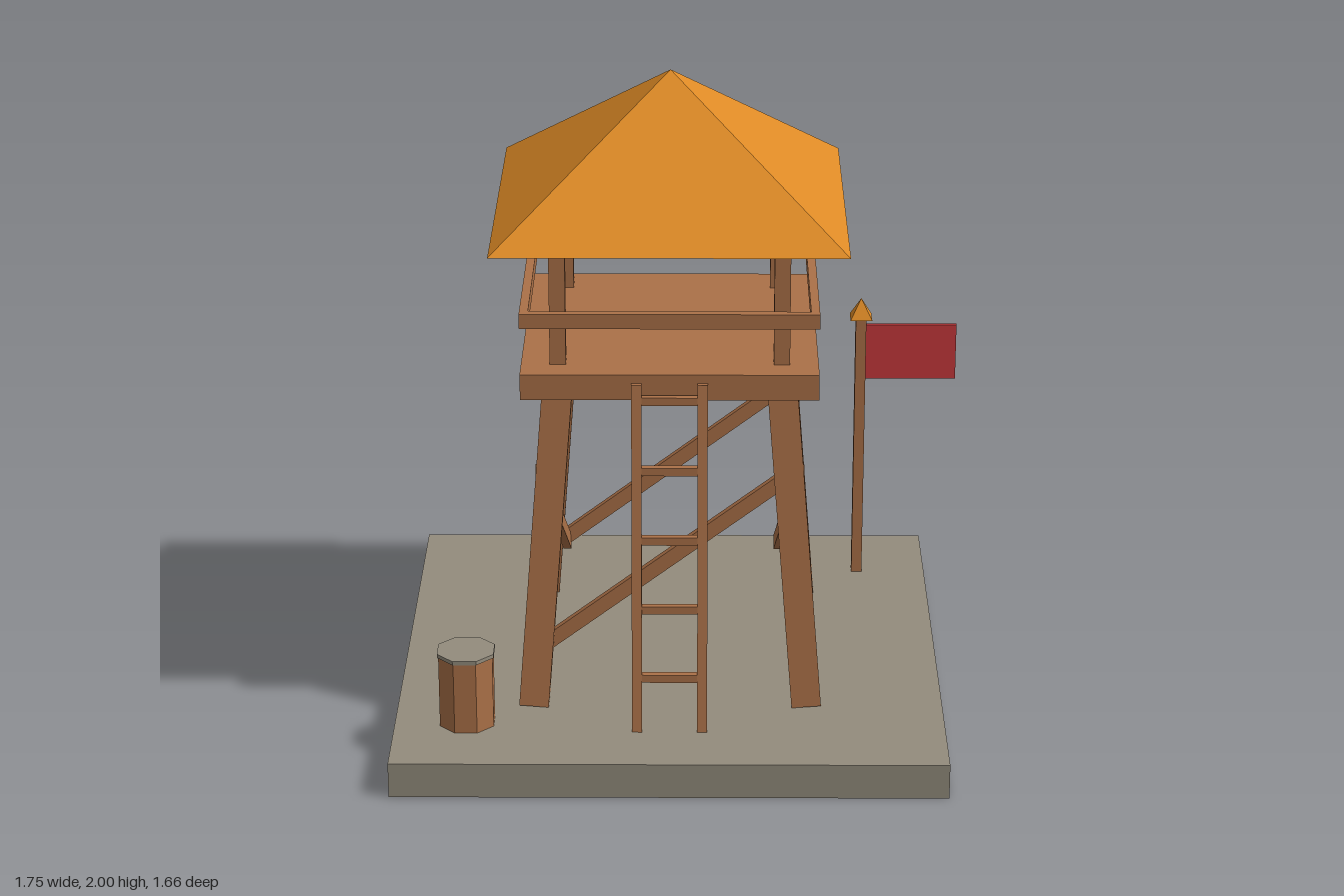
import * as THREE from 'three';

const mat = (name, color, extra = {}) => {
  const m = new THREE.MeshStandardMaterial({ color, ...extra });
  m.name = name;
  return m;
};

export function createModel() {
  const wood = mat('wood', 0xab7148);
  const thatch = mat('roof orange', 0xdd8a26);
  const stone = mat('stone grey', 0x938c7d, { side: THREE.DoubleSide });
  const red = mat('flag red', 0xc83a3c);

  const model = new THREE.Group();
  model.name = 'watchtower';

  const add = (name, geometry, material, x, y, z, parent = model) => {
    const mesh = new THREE.Mesh(geometry, material);
    mesh.name = name;
    mesh.position.set(x, y, z);
    parent.add(mesh);
    return mesh;
  };
  const box = (name, material, w, h, d, x, y, z, parent) =>
    add(name, new THREE.BoxGeometry(w, h, d), material, x, y, z, parent);

  // Faceted prism, cone or pyramid with a flat side facing the front
  const prism = (name, material, rTop, rBottom, h, sides, x, y, z, parent) => {
    const g = new THREE.CylinderGeometry(rTop, rBottom, h, sides).rotateY(Math.PI / sides).toNonIndexed();
    g.computeVertexNormals();
    return add(name, g, material, x, y, z, parent);
  };

  // Square-cut beam from a to b; its width runs along the x or z hint
  const beam = (name, a, b, width, depth, hint, parent) => {
    const p = new THREE.Vector3(...a), q = new THREE.Vector3(...b);
    const dir = q.clone().sub(p), length = dir.length();
    dir.normalize();
    const side = new THREE.Vector3(...hint);
    side.addScaledVector(dir, -side.dot(dir)).normalize();
    const normal = side.clone().cross(dir);
    const mid = p.add(q).multiplyScalar(0.5);
    const mesh = box(name, wood, width, length, depth, mid.x, mid.y, mid.z, parent);
    mesh.quaternion.setFromRotationMatrix(new THREE.Matrix4().makeBasis(side, dir, normal));
  };

  const X = [1, 0, 0], Z = [0, 0, 1];
  const ground = 0.11;

  // Ground slab, open underneath (the downward face is dropped)
  const slab = new THREE.BoxGeometry(1.665, ground, 1.665);
  slab.setIndex([...slab.index.array].filter((_, i) => i < 18 || i >= 24));
  slab.clearGroups();
  add('groundSlab', slab, stone, -0.043, ground / 2, 0);

  // Tower, centred on its own axis
  const tower = new THREE.Group();
  tower.name = 'tower';
  tower.position.x = -0.043;
  model.add(tower);

  for (const sx of [-1, 1]) {
    for (const sz of [-1, 1]) {
      beam('leg', [sx * 0.416, ground, sz * 0.416], [sx * 0.333, 1.15, sz * 0.333], 0.09, 0.09, X, tower);
      box('roofPost', wood, 0.048, 0.41, 0.048, sx * 0.333, 1.387, sz * 0.333, tower);
    }
  }

  // One diagonal brace on each of the four sides
  for (const s of [-1, 1]) {
    beam('crossBrace', [-0.375, 0.29, s * 0.37], [0.375, 0.858, s * 0.37], 0.026, 0.045, Z, tower);
    beam('sideBrace', [s * 0.342, 0.29, -0.375], [s * 0.391, 0.858, 0.375], 0.026, 0.045, X, tower);
  }

  // Platform and railing frame
  box('platform', wood, 0.885, 0.08, 0.885, 0, 1.155, 0, tower);
  for (const s of [-1, 1]) {
    box('crossRail', wood, 0.834, 0.046, 0.026, 0, 1.362, s * 0.429, tower);
    box('sideRail', wood, 0.026, 0.046, 0.884, s * 0.429, 1.362, 0, tower);
  }

  // Pyramid roof
  prism('roof', thatch, 0, 0.525 * Math.SQRT2, 0.412, 4, 0, 1.794, 0, tower);

  // Ladder leaning on the platform front
  const ladder = new THREE.Group();
  ladder.name = 'ladder';
  tower.add(ladder);
  const ladderZ = (y) => 0.61 - 0.147 * (y - ground);
  for (const s of [-1, 1]) {
    beam('ladderRail', [s * 0.098, 0.108, ladderZ(0.108)], [s * 0.098, 1.17, ladderZ(1.17)], 0.03, 0.028, X, ladder);
  }
  for (let i = 0; i < 5; i++) {
    const y = 0.275 + i * 0.2115;
    box('rung', wood, 0.18, 0.025, 0.022, 0, y, ladderZ(y), ladder);
  }

  // Barrel with a thin lid
  const barrel = new THREE.Group();
  barrel.name = 'barrel';
  barrel.position.set(-0.656, 0, 0.552);
  model.add(barrel);
  prism('barrelBody', wood, 0.088, 0.088, 0.23, 8, 0, 0.225, 0, barrel);
  prism('barrelLid', stone, 0.092, 0.092, 0.012, 8, 0, 0.345, 0, barrel);

  // Flagpole with pointed cap and flag
  const flagpole = new THREE.Group();
  flagpole.name = 'flagpole';
  flagpole.position.set(0.566, 0, -0.558);
  model.add(flagpole);
  box('pole', wood, 0.034, 0.9, 0.034, 0, 0.56, 0, flagpole);
  prism('poleCap', thatch, 0, 0.035 * Math.SQRT2, 0.065, 4, 0, 1.038, 0, flagpole);
  box('flag', red, 0.294, 0.186, 0.014, 0.162, 0.888, 0, flagpole);

  return model;
}
